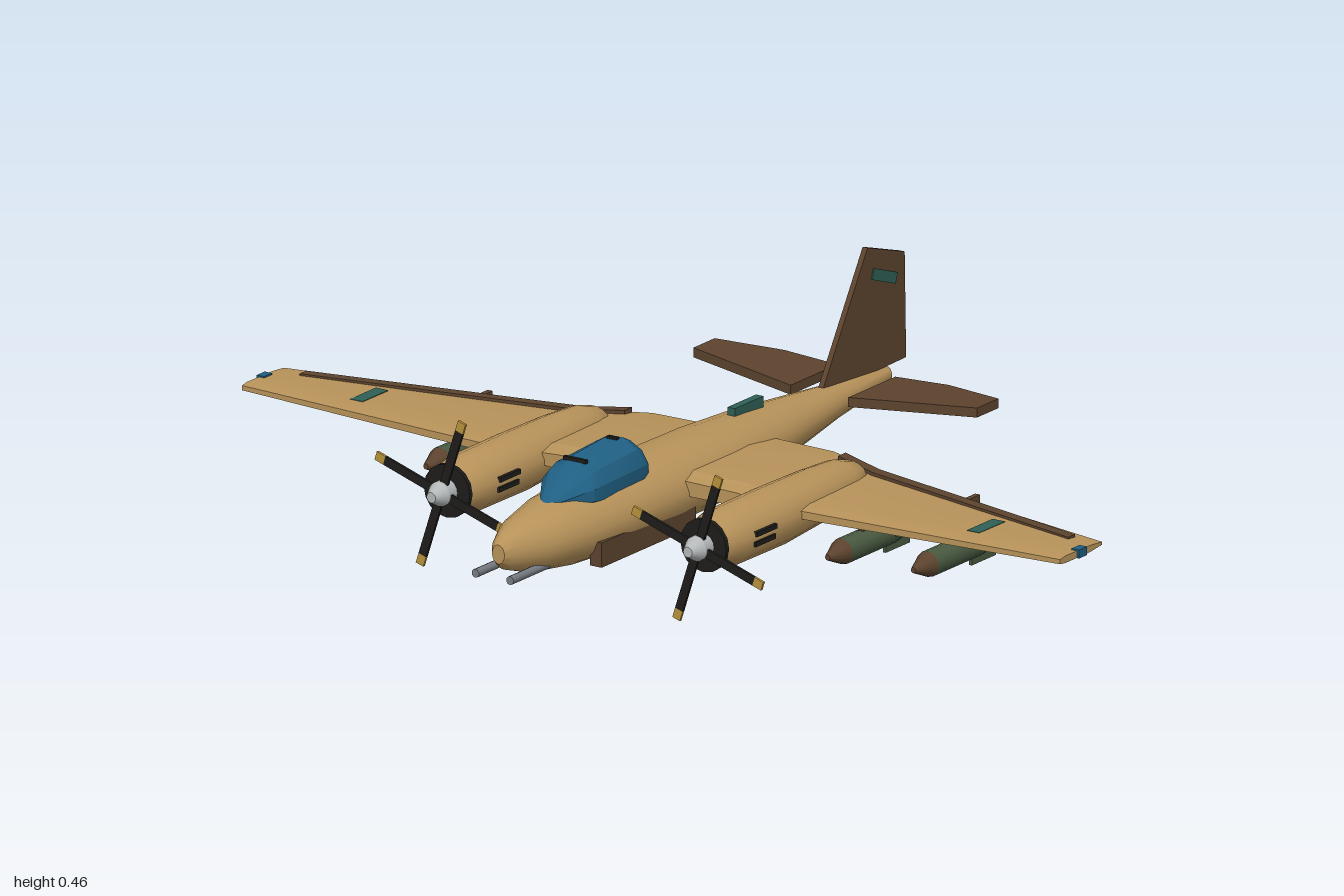
import * as THREE from 'three';
import { toCreasedNormals } from 'three/addons/utils/BufferGeometryUtils.js';

const paint = (name, hex) => {
  const m = new THREE.MeshStandardMaterial({ color: hex });
  m.name = name;
  return m;
};

// Skin a list of rings (arrays of [x, y, z]) with capped ends, facing outward
function loft(rings, crease = 0.2) {
  const n = rings[0].length, tris = [];
  const mid = r => [0, 1, 2].map(k => r.reduce((s, p) => s + p[k], 0) / n);
  for (let i = 0; i < rings.length - 1; i++) {
    for (let j = 0; j < n; j++) {
      const a = rings[i][j], b = rings[i][(j + 1) % n];
      const c = rings[i + 1][j], d = rings[i + 1][(j + 1) % n];
      tris.push([a, b, d], [a, d, c]);
    }
  }
  const first = rings[0], last = rings[rings.length - 1], m0 = mid(first), m1 = mid(last);
  for (let j = 0; j < n; j++) {
    const k = (j + 1) % n;
    tris.push([m0, first[k], first[j]], [m1, last[j], last[k]]);
  }
  const volume = tris.reduce((s, [a, b, c]) => s
    + a[0] * (b[1] * c[2] - b[2] * c[1])
    + a[1] * (b[2] * c[0] - b[0] * c[2])
    + a[2] * (b[0] * c[1] - b[1] * c[0]), 0);
  if (volume < 0) tris.forEach(t => t.reverse());
  const geo = new THREE.BufferGeometry();
  geo.setAttribute('position', new THREE.Float32BufferAttribute(tris.flat(2), 3));
  return toCreasedNormals(geo, crease);
}

// Body along z from stations [z, centre x, centre y, half width, half height]
const body = (stations, sides = 20, crease = 0.7) => loft(stations.map(([z, x, y, rx, ry]) =>
  Array.from({ length: sides }, (_, i) => {
    const a = (i + 0.5) / sides * Math.PI * 2;
    return [x + rx * Math.cos(a), y + ry * Math.sin(a), z];
  })), crease);

// Flat plate in the side plane from [z, y] points
const sidePlate = (points, x, half) => loft([-half, half].map(d => points.map(([z, y]) => [x + d, y, z])));

export function createModel() {
  const root = new THREE.Group();
  root.name = 'aircraft';
  const tan = paint('sand', 0xb8935a), brown = paint('brown', 0x5c432e);
  const teal = paint('teal', 0x2f5f55), blue = paint('canopyBlue', 0x1f5f82);
  const green = paint('bombGreen', 0x4a5b42), black = paint('black', 0x1d1c1a);
  const gold = paint('gold', 0xb8923c), silver = paint('silver', 0xb4b8b8);
  const steel = paint('gunSteel', 0x777c82);

  const add = (name, geo, mat, parent = root) => {
    const mesh = new THREE.Mesh(geo, mat);
    mesh.name = name;
    parent.add(mesh);
    return mesh;
  };
  const box = (name, mat, w, h, d, x, y, z, parent = root) => {
    const mesh = add(name, new THREE.BoxGeometry(w, h, d), mat, parent);
    mesh.position.set(x, y, z);
    return mesh;
  };
  const rod = (name, mat, rFront, rBack, z0, z1, x, y, parent = root, sides = 16) => {
    const geo = new THREE.CylinderGeometry(rFront, rBack, z1 - z0, sides).rotateX(Math.PI / 2);
    const mesh = add(name, geo, mat, parent);
    mesh.position.set(x, y, (z0 + z1) / 2);
    return mesh;
  };

  // Fuselage
  add('fuselage', body([
    [0.7, 0, 0.155, 0.015, 0.02], [0.68, 0, 0.155, 0.03, 0.037], [0.61, 0, 0.153, 0.066, 0.058],
    [0.5, 0, 0.154, 0.092, 0.073], [0.38, 0, 0.155, 0.106, 0.079], [0.2, 0, 0.156, 0.11, 0.081],
    [0, 0, 0.157, 0.104, 0.079], [-0.15, 0, 0.161, 0.088, 0.069], [-0.3, 0, 0.165, 0.065, 0.053],
    [-0.45, 0, 0.169, 0.042, 0.036], [-0.66, 0, 0.172, 0.014, 0.02],
  ]), tan);

  // Canopy with two small frames
  add('canopy', body([
    [0.54, 0, 0.213, 0.012, 0.006], [0.455, 0, 0.225, 0.066, 0.048], [0.425, 0, 0.225, 0.07, 0.061],
    [0.285, 0, 0.225, 0.07, 0.071], [0.26, 0, 0.225, 0.062, 0.058], [0.21, 0, 0.225, 0.018, 0.02],
  ], 12, 0.4), blue);
  box('canopyFrameFront', black, 0.055, 0.008, 0.008, 0, 0.283, 0.43);
  box('canopyFrameRear', black, 0.025, 0.008, 0.008, 0, 0.293, 0.3);
  box('spineAerial', teal, 0.018, 0.03, 0.1, 0, 0.232, -0.166);

  // Tail fin
  add('tailFin', sidePlate([[-0.42, 0.19], [-0.585, 0.46], [-0.715, 0.418], [-0.72, 0.195]], 0, 0.006), brown);
  add('finMark', sidePlate([[-0.597, 0.39], [-0.605, 0.412], [-0.688, 0.382], [-0.68, 0.36]], 0, 0.0085), teal);

  // Wing section [x, leading z, trailing z, centre y, thickness]
  const wingRing = ([x, le, te, y, t]) => [[0, -0.35], [0, 0.3], [0.12, 0.5], [0.72, 0.45], [1, 0.2], [1, -0.2], [0.7, -0.5], [0.12, -0.5]]
    .map(([c, h]) => [x, y + h * t, le + (te - le) * c]);

  for (const s of [1, -1]) {
    const side = new THREE.Group();
    side.name = s > 0 ? 'leftSide' : 'rightSide';
    root.add(side);

    // Wing, flap stripe, panel and tip light
    add('wing', loft([
      [0, 0.187, -0.157, 0.178, 0.05], [s * 0.22, 0.186, -0.158, 0.176, 0.044],
      [s * 0.36, 0.182, -0.126, 0.17, 0.026], [s * 0.995, 0.165, 0.018, 0.181, 0.015],
    ].map(wingRing)), tan, side);
    const bar = (x, z0, z1, y0, y1) => [[s * x, y0, z0], [s * x, y1, z0], [s * x, y1, z1], [s * x, y0, z1]];
    add('flapStripe', loft([bar(0.26, -0.142, -0.116, 0.17, 0.194), bar(0.36, -0.115, -0.09, 0.17, 0.185),
      bar(0.935, 0.026, 0.05, 0.18, 0.191)]), brown, side);
    box('wingMark', teal, 0.03, 0.006, 0.09, s * 0.75, 0.184, 0.072, side);
    box('tipLight', blue, 0.018, 0.018, 0.028, s * 0.991, 0.182, 0.092, side);

    // Tailplane
    const stab = [[0.07, -0.425], [0.345, -0.48], [0.345, -0.555], [0.2, -0.59], [0.07, -0.59]];
    add('tailplane', loft([-0.01, 0.01].map(h => stab.map(([x, z]) => [s * x, 0.19 + (x - 0.07) * 0.05 + h, z]))), brown, side);

    // Nose gun and cheek fairing
    rod('noseGun', steel, 0.009, 0.009, 0.56, 0.72, s * 0.042, 0.113, side, 10);
    box('cheekFairing', brown, 0.028, 0.052, 0.33, s * 0.088, 0.115, 0.32, side);

    // Engine nacelle
    const ex = s * 0.312;
    add('nacelle', body([
      [0.422, ex, 0.16, 0.054, 0.05], [0.37, ex, 0.16, 0.068, 0.06], [0.2, ex, 0.16, 0.069, 0.061],
      [0.05, ex, 0.164, 0.06, 0.056], [-0.04, ex, 0.17, 0.053, 0.045], [-0.085, ex, 0.173, 0.04, 0.03],
      [-0.108, ex, 0.175, 0.016, 0.012],
    ], 16), tan, side);
    rod('engineFace', black, 0.056, 0.056, 0.421, 0.431, ex, 0.16, side);
    for (const d of [1, -1]) {
      for (const k of [0, 1]) {
        box('exhaust', black, 0.012, 0.01, 0.07, ex + d * 0.066, 0.153 + k * 0.02, 0.315 - k * 0.005, side);
      }
    }

    // Four-blade propeller
    const prop = new THREE.Group();
    prop.name = 'propeller';
    prop.position.set(ex, 0.16, 0.45);
    side.add(prop);
    rod('hub', silver, 0.026, 0.026, -0.02, 0.008, 0, 0, prop);
    rod('spinner', silver, 0.011, 0.026, 0.008, 0.036, 0, 0, prop);
    for (let i = 0; i < 4; i++) {
      const blade = new THREE.Group();
      blade.name = 'blade';
      blade.rotation.z = (72 + i * 90) * Math.PI / 180;
      prop.add(blade);
      box('bladeShaft', black, 0.13, 0.019, 0.006, 0.079, 0, 0, blade);
      box('bladeTip', gold, 0.022, 0.019, 0.006, 0.155, 0, 0, blade);
    }

    // Bombs on pylons
    for (const [x, z] of [[0.405, 0.03], [0.593, 0]]) {
      const bomb = new THREE.Group();
      bomb.name = 'bomb';
      bomb.position.set(s * x, 0.072, z);
      side.add(bomb);
      rod('bombBody', green, 0.027, 0.027, -0.12, 0.05, 0, 0, bomb, 12);
      rod('bombNose', brown, 0.006, 0.027, 0.05, 0.1, 0, 0, bomb, 12);
      rod('bombTail', green, 0.027, 0.018, -0.18, -0.12, 0, 0, bomb, 12);
      box('finUpright', green, 0.007, 0.084, 0.085, 0, 0, -0.142, bomb);
      box('finAcross', green, 0.084, 0.007, 0.085, 0, 0, -0.142, bomb);
      box('pylon', brown, 0.012, 0.085, 0.11, 0, 0.058, -0.07, bomb);
    }
  }
  return root;
}
